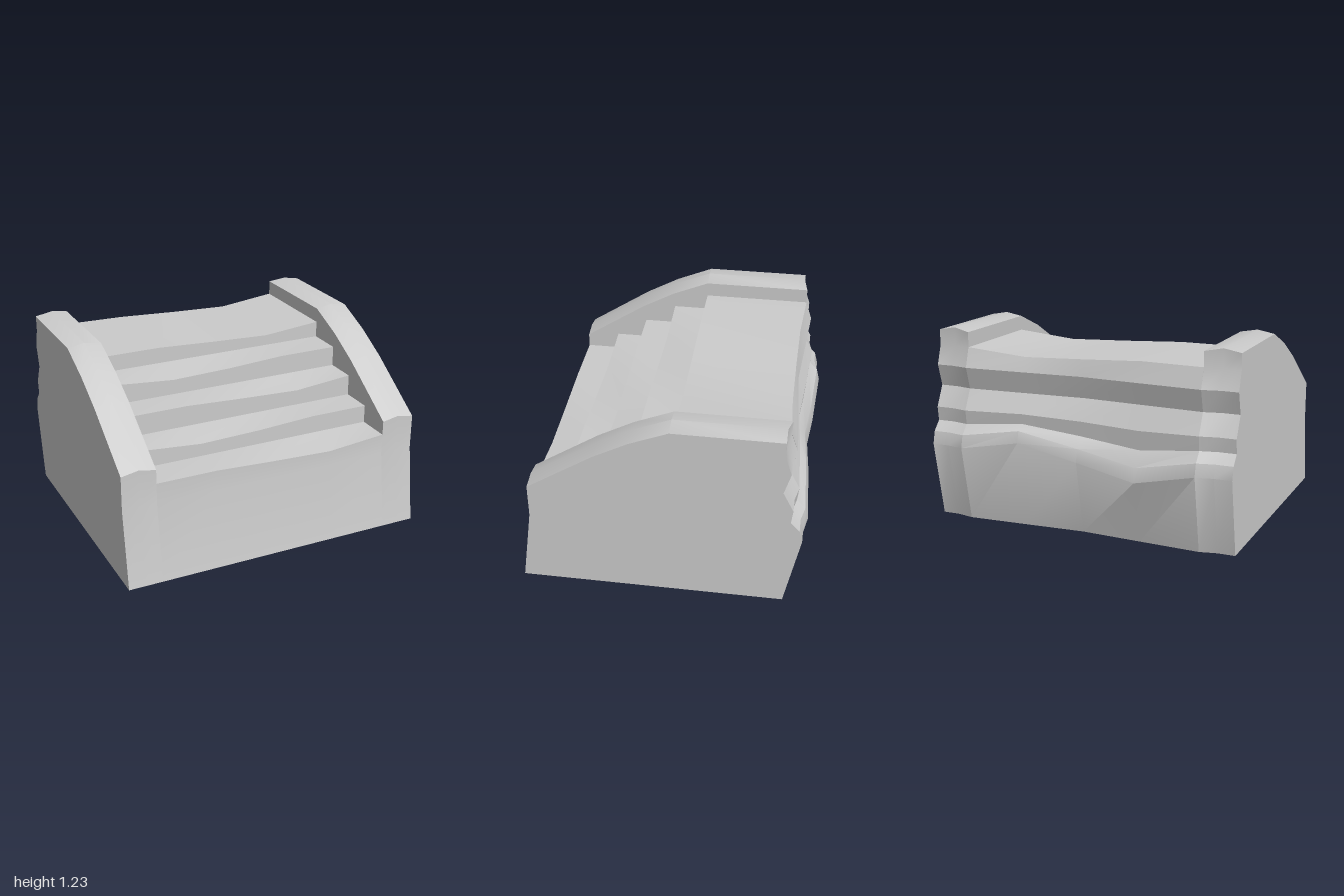
import * as THREE from 'three';
import { toCreasedNormals } from 'three/addons/utils/BufferGeometryUtils.js';

const material = new THREE.MeshStandardMaterial({ color: 0xcccccc, side: THREE.DoubleSide });
const INNER = 0.78, OUTER = 1, RIDGE = 0.89;

// Profiles as [z, y], running from the front over the top to the back
const frontWall = [[0.88, 0], [0.81, 0.5]];
const cheekTop = [[0.81, 0.72], [0.4, 0.99], [0.18, 1.11], [-0.06, 1.21], [-0.73, 1.21]];
const backRock = [[-0.73, 1.11], [-0.77, 0.99], [-0.73, 0.85], [-0.795, 0.72],
  [-0.785, 0.63], [-0.84, 0.57], [-0.86, 0.49], [-0.765, 0]];
const rockSway = [0, 0, 0, 0.15, 0.5, 0.9, 1, 0]; // how far each rock layer follows the wave

// Steps: nosing z and tread height
const nosingZ = [0.81, 0.59, 0.38, 0.17, -0.06];
const treadY = [0.63, 0.745, 0.88, 1.01, 1.115];

// Values across the stair columns
const stairX = [-INNER, -0.39, 0, 0.39, INNER];
const wear = [[0, 0, -0.02, -0.036, 0], [0, -0.033, -0.022, 0, 0]];
const wave = [0, -0.09, -0.015, 0.07, 0];
const bulge = [-0.023, -0.002, 0.021, -0.002, -0.023];

// Skin through one [z, y] path per x column
function loft(xs, pathAt) {
  const paths = xs.map((x, i) => pathAt(i));
  const n = paths[0].length, pos = [], index = [];
  paths.forEach((path, i) => path.forEach(([z, y]) => pos.push(xs[i], y, z)));
  for (let i = 0; i < xs.length - 1; i++) {
    for (let j = 0; j < n - 1; j++) {
      const a = i * n + j, b = a + n;
      index.push(a, b, b + 1, a, b + 1, a + 1);
    }
  }
  const g = new THREE.BufferGeometry();
  g.setAttribute('position', new THREE.Float32BufferAttribute(pos, 3));
  g.setIndex(index);
  return toCreasedNormals(g, 0.45);
}

// Flat panel at x from a [z, y] outline; facing is +1 or -1 along x
function panel(outline, x, facing) {
  const shape = new THREE.Shape(outline.map(([z, y]) => new THREE.Vector2(-facing * z, y)));
  return new THREE.ShapeGeometry(shape).rotateY(facing * Math.PI / 2).translate(x, 0, 0);
}

function add(group, name, geometry) {
  const mesh = new THREE.Mesh(geometry, material);
  mesh.name = name;
  group.add(mesh);
}

// Cheek wall profile at a given distance from the centre
function cheekPath(ax) {
  const lift = ax === RIDGE ? 0.02 : 0;
  const shift = ax === INNER ? bulge[0] : 0;
  return [
    ...frontWall,
    ...cheekTop.map(([z, y], i) => [i === 4 ? z + shift : z, y + lift]),
    ...backRock.map(([z, y]) => [z + shift, y]),
  ];
}

// Stepped line: nosing and back of each tread, then the rear edge of the landing
function stepLine(i) {
  const line = [];
  treadY.forEach((y, k) => {
    const dip = wear[k % 2][i];
    line.push([nosingZ[k], y + dip]);
    if (k < 4) line.push([nosingZ[k + 1], y]);
    else line.push([backRock[0][0] + Math.min(bulge[i], 0), y + dip]);
  });
  return line;
}

// Full stair section with the weathered rock back
function stairPath(i) {
  const rock = backRock.slice(1).map(([z, y], k) =>
    [z + bulge[i], y + wave[i] * rockSway[k + 1]]);
  return [...frontWall, ...stepLine(i), ...rock];
}

export function createModel() {
  const model = new THREE.Group();
  model.name = 'stoneStairs';

  add(model, 'steps', loft(stairX, stairPath));

  for (const side of [-1, 1]) {
    const cheek = new THREE.Group();
    cheek.name = side > 0 ? 'leftCheekWall' : 'rightCheekWall';
    const xs = [INNER, RIDGE, OUTER].map(x => x * side).sort((a, b) => a - b);

    // Front, crowned top and rough back in one skin
    add(cheek, 'coping', loft(xs, i => cheekPath(Math.abs(xs[i]))));
    add(cheek, 'outerSide', panel(cheekPath(OUTER), side * OUTER, side));

    // Inner face only rises above the steps
    const top = cheekPath(INNER).slice(2, 7);
    add(cheek, 'innerSide', panel([...top, ...stepLine(0).reverse()], side * INNER, -side));
    model.add(cheek);
  }
  return model;
}
